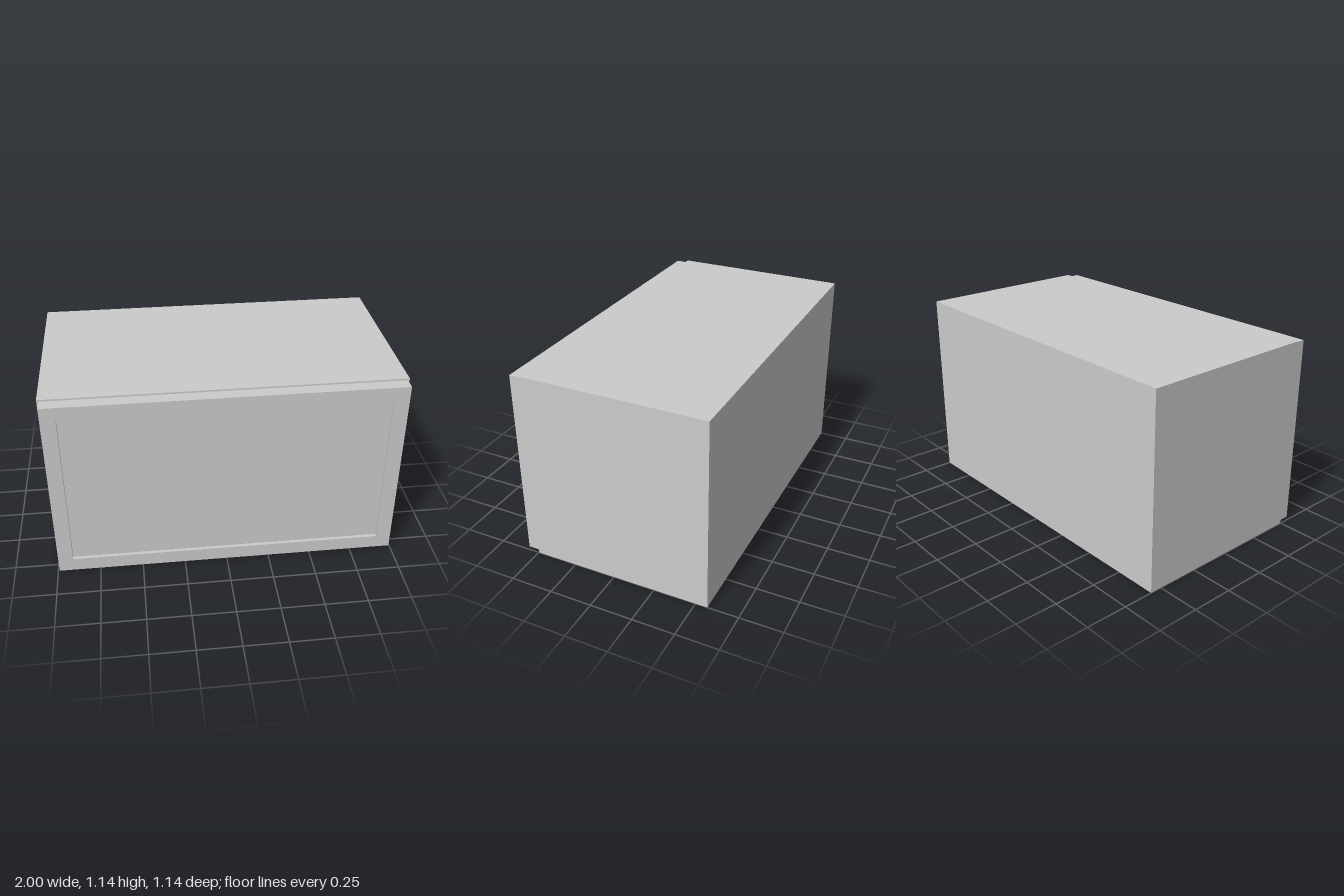
import * as THREE from 'three';

const W = 2, H = 1.14, T = 0.07;          // overall width, height, board thickness
const BACK = -0.57, FRONT = 0.497, DOOR_FRONT = 0.57;

export function createModel() {
  const group = new THREE.Group();
  group.name = 'wallCabinet';
  const material = new THREE.MeshStandardMaterial({ color: 0xcccccc });

  const add = (name, geometry) => {
    const mesh = new THREE.Mesh(geometry, material);
    mesh.name = name;
    group.add(mesh);
    return mesh;
  };
  // Board given by its minimum and maximum corners
  const board = (name, x0, x1, y0, y1, z0, z1) =>
    add(name, new THREE.BoxGeometry(x1 - x0, y1 - y0, z1 - z0))
      .position.set((x0 + x1) / 2, (y0 + y1) / 2, (z0 + z1) / 2);

  // Carcass: full-height sides with top, bottom and back fitted between them
  const inner = W / 2 - T;
  board('leftSide', inner, W / 2, 0, H, BACK, FRONT);
  board('rightSide', -W / 2, -inner, 0, H, BACK, FRONT);
  board('topBoard', -inner, inner, H - T, H, BACK, FRONT);
  board('bottomBoard', -inner, inner, 0, T, BACK, FRONT);
  board('backBoard', -inner, inner, T, H - T, BACK, BACK + T);

  // Door frame: a rectangular border around the recessed panel
  const dx = 0.99, y0 = 0.013, y1 = 1.13;
  const px = 0.905, py0 = 0.095, py1 = 1.05;
  const rectangle = (path, x, a, b) =>
    path.moveTo(-x, a).lineTo(x, a).lineTo(x, b).lineTo(-x, b).closePath();
  const frame = rectangle(new THREE.Shape(), dx, y0, y1);
  frame.holes.push(rectangle(new THREE.Path(), px, py0, py1));
  add('doorFrame', new THREE.ExtrudeGeometry(frame, {
    depth: DOOR_FRONT - FRONT, bevelEnabled: false,
  })).position.z = FRONT;

  // Door panel set slightly behind the frame's face
  board('doorPanel', -px, px, py0, py1, FRONT, DOOR_FRONT - 0.02);

  return group;
}
